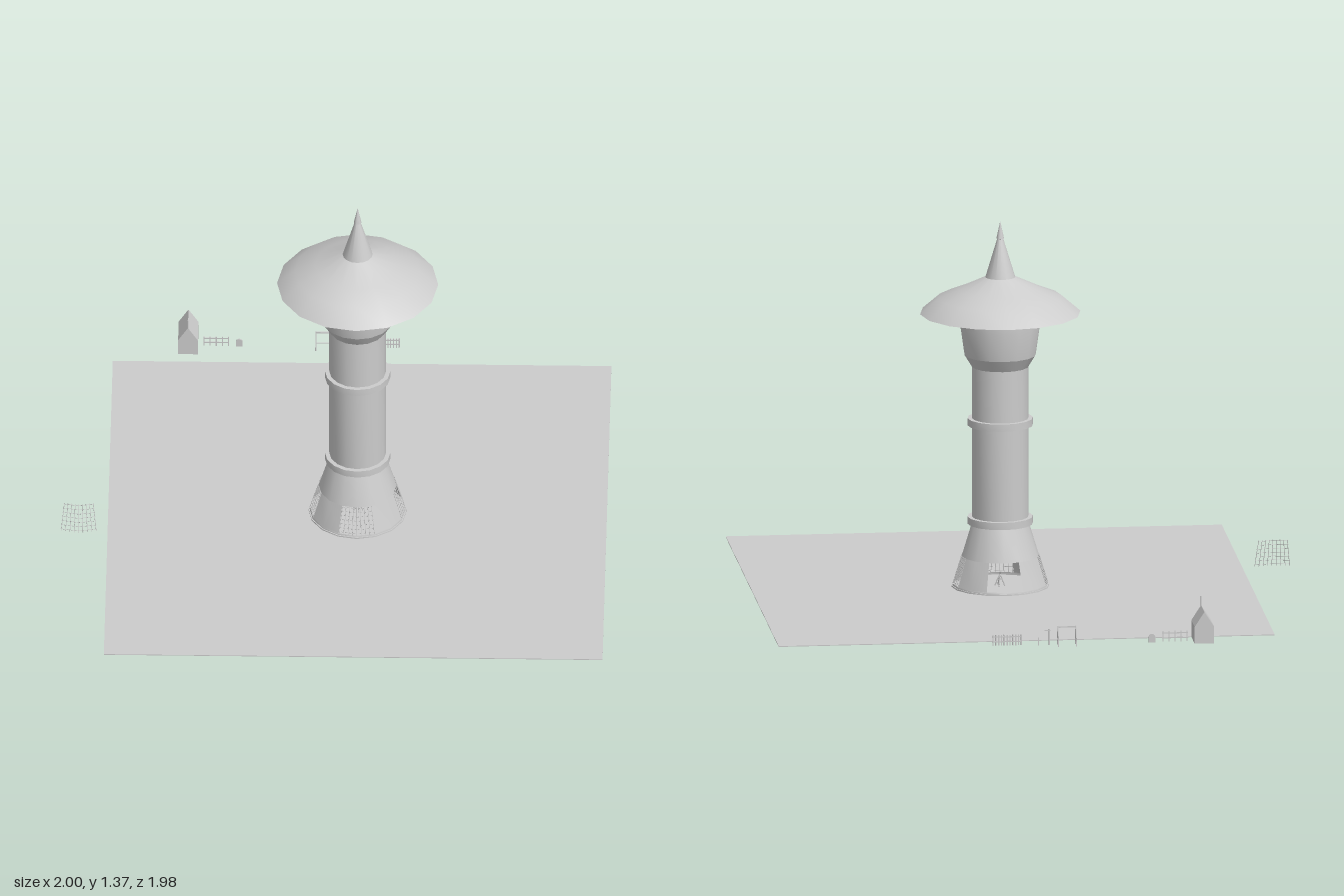
import * as THREE from 'three';
import { toCreasedNormals, mergeGeometries } from 'three/addons/utils/BufferGeometryUtils.js';

const stone = new THREE.MeshStandardMaterial({ color: 0xcccccc, side: THREE.DoubleSide });
stone.name = 'paleStone';

const SIDES = 16;
const STEP = (Math.PI * 2) / SIDES;
const CX = 0.083, CZ = 0.073, BACK = -0.935;

function add(parent, name, geometry, x = 0, y = 0, z = 0) {
  const mesh = new THREE.Mesh(geometry, stone);
  mesh.name = name;
  mesh.position.set(x, y, z);
  parent.add(mesh);
  return mesh;
}

// Turned piece from [radius, height] pairs, listed bottom to top
function turned(profile, start = 0, segments = SIDES) {
  const pts = profile.map(([r, y]) => new THREE.Vector2(r, y));
  return toCreasedNormals(new THREE.LatheGeometry(pts, segments, start, segments * STEP), 0.5);
}

const box = (w, h, d, x = 0, y = 0, z = 0) => new THREE.BoxGeometry(w, h, d).translate(x, y, z);

// Straight thin bar between two points
function bar(a, b, r = 0.001) {
  const from = new THREE.Vector3(...a), dir = new THREE.Vector3(...b).sub(from);
  const g = new THREE.CylinderGeometry(r, r, dir.length(), 5);
  g.applyQuaternion(new THREE.Quaternion().setFromUnitVectors(
    new THREE.Vector3(0, 1, 0), dir.clone().normalize()));
  return g.translate(from.x + dir.x / 2, from.y + dir.y / 2, from.z + dir.z / 2);
}

const coneRadius = y => 0.176 - 0.31 * (y - 0.008);

// Wire grating that follows two facets of the conical base
function grating() {
  const point = (t, y) => {
    const edge = coneRadius(y) + 0.001;
    const a = Math.abs(t);
    return [t * edge * Math.sin(STEP), y, edge * (1 - a + a * Math.cos(STEP))];
  };
  const bars = [];
  for (let i = 0; i <= 8; i++) {
    const t = -0.96 + i * 0.24;
    bars.push(bar(point(t, 0.014), point(t, 0.118)));
  }
  for (let i = 0; i <= 6; i++) {
    const y = 0.021 + i * 0.0155;
    bars.push(bar(point(-1, y), point(0, y)), bar(point(0, y), point(1, y)));
  }
  return mergeGeometries(bars);
}

function buildTower() {
  const tower = new THREE.Group();
  tower.name = 'tower';
  tower.position.set(CX, 0, CZ);

  // Conical base standing on four piers, open on four sides
  add(tower, 'baseSill', turned([[0.18, 0.002], [0.18, 0.008], [0.176, 0.008], [coneRadius(0.014), 0.014]]));
  for (let i = 0; i < 4; i++) {
    add(tower, 'basePier', turned([[coneRadius(0.014), 0.014], [coneRadius(0.117), 0.117]], STEP + i * Math.PI / 2, 2));
  }
  add(tower, 'baseCone', turned([[coneRadius(0.117), 0.117], [0.106, 0.236]]));

  // Gratings in the front and side openings; the back is the doorway
  const grate = grating();
  for (const turn of [0, Math.PI / 2, -Math.PI / 2]) add(tower, 'grating', grate).rotation.y = turn;

  // Shaft with two raised rings
  add(tower, 'shaft', turned([[0.104, 0.236], [0.104, 0.83]]));
  for (const y of [0.237, 0.606]) {
    add(tower, 'ring', turned([[0.1, y], [0.12, y], [0.12, y + 0.027], [0.1, y + 0.027]]));
  }

  // Swelling head
  add(tower, 'headFlare', turned([[0.104, 0.826], [0.131, 0.87]]));
  add(tower, 'head', turned([[0.131, 0.87], [0.146, 0.975], [0.143, 1.03]]));

  // Broad roof and spire
  add(tower, 'roof', turned([[0, 1.027], [0.295, 1.027], [0.229, 1.084], [0.155, 1.114], [0.055, 1.161]]));
  add(tower, 'spire', turned([[0.055, 1.161], [0.011, 1.305]]));
  add(tower, 'finial', turned([[0.008, 1.303], [0.014, 1.305], [0.012, 1.315], [0, 1.37]]));

  // Small stack of sticks in the middle of the floor
  const sticks = [];
  for (let i = 0; i < 5; i++) {
    const a = i * Math.PI * 0.4;
    sticks.push(bar([0.02 * Math.cos(a), 0.004, 0.02 * Math.sin(a)],
      [-0.004 * Math.cos(a), 0.055, -0.004 * Math.sin(a)], 0.0022));
  }
  add(tower, 'stickPile', mergeGeometries(sticks));
  return tower;
}

function buildHut() {
  const hut = new THREE.Group();
  hut.name = 'hut';
  hut.position.set(-0.555, 0, BACK);
  const gable = new THREE.Shape([[-0.036, 0.01], [0.036, 0.01], [0.036, 0.073], [0, 0.128], [-0.036, 0.073]]
    .map(p => new THREE.Vector2(...p)));
  add(hut, 'hutBody', new THREE.ExtrudeGeometry(gable, { depth: 0.116, bevelEnabled: false }), 0, 0, -0.057);
  add(hut, 'hutPole', bar([0, 0.12, 0.057], [0, 0.162, 0.057], 0.0017));
  return hut;
}

// Row of upright pales tied by two rails
function buildFence(name, x0, x1, height, count, depth) {
  const parts = [0.35, 0.8].map(f => box(x1 - x0, 0.004, depth * 0.6, (x0 + x1) / 2, 0.008 + f * height));
  for (let i = 0; i < count; i++) {
    const x = x0 + 0.003 + (x1 - x0 - 0.006) * i / (count - 1);
    parts.push(box(0.004, height, depth, x, 0.008 + height / 2));
  }
  const fence = new THREE.Group();
  fence.name = name;
  add(fence, name + 'Pales', mergeGeometries(parts), 0, 0, BACK);
  return fence;
}

function buildTrestle() {
  const parts = [box(0.068, 0.005, 0.005, -0.055, 0.072), box(0.068, 0.003, 0.003, -0.055, 0.024)];
  for (const x of [-0.088, -0.022]) {
    for (const s of [-1, 1]) parts.push(bar([x, 0.002, s * 0.02], [x, 0.076, 0], 0.002));
    parts.push(box(0.003, 0.003, 0.026, x, 0.024));
  }
  return mergeGeometries(parts);
}

export function createModel() {
  const model = new THREE.Group();
  model.name = 'watchtower';

  // Flat ground slab
  add(model, 'ground', box(1.825, 0.003, 1.825), CX, 0.0015, CZ);
  model.add(buildTower());

  // Loose grating beside the ground
  add(model, 'spareGrating', grating(), -0.935, 0, CZ);

  // Small things in a row behind the ground
  model.add(buildHut());
  model.add(buildFence('railFence', -0.5, -0.405, 0.04, 5, 0.004));
  model.add(buildFence('picketFence', 0.11, 0.22, 0.04, 11, 0.008));
  add(model, 'trestle', buildTrestle(), 0, 0, BACK);

  const slab = new THREE.Shape();
  slab.moveTo(-0.012, 0.006).lineTo(0.012, 0.006).lineTo(0.012, 0.026);
  slab.absarc(0, 0.026, 0.012, 0, Math.PI, false);
  add(model, 'roundedSlab', new THREE.ExtrudeGeometry(slab, { depth: 0.005, bevelEnabled: false, curveSegments: 6 }),
    -0.368, 0, BACK - 0.0025);

  add(model, 'signpost', mergeGeometries([
    box(0.004, 0.06, 0.004, 0.01, 0.035), box(0.022, 0.004, 0.004, 0.016, 0.06),
    box(0.004, 0.03, 0.004, 0.05, 0.02)]), 0, 0, BACK);
  return model;
}
